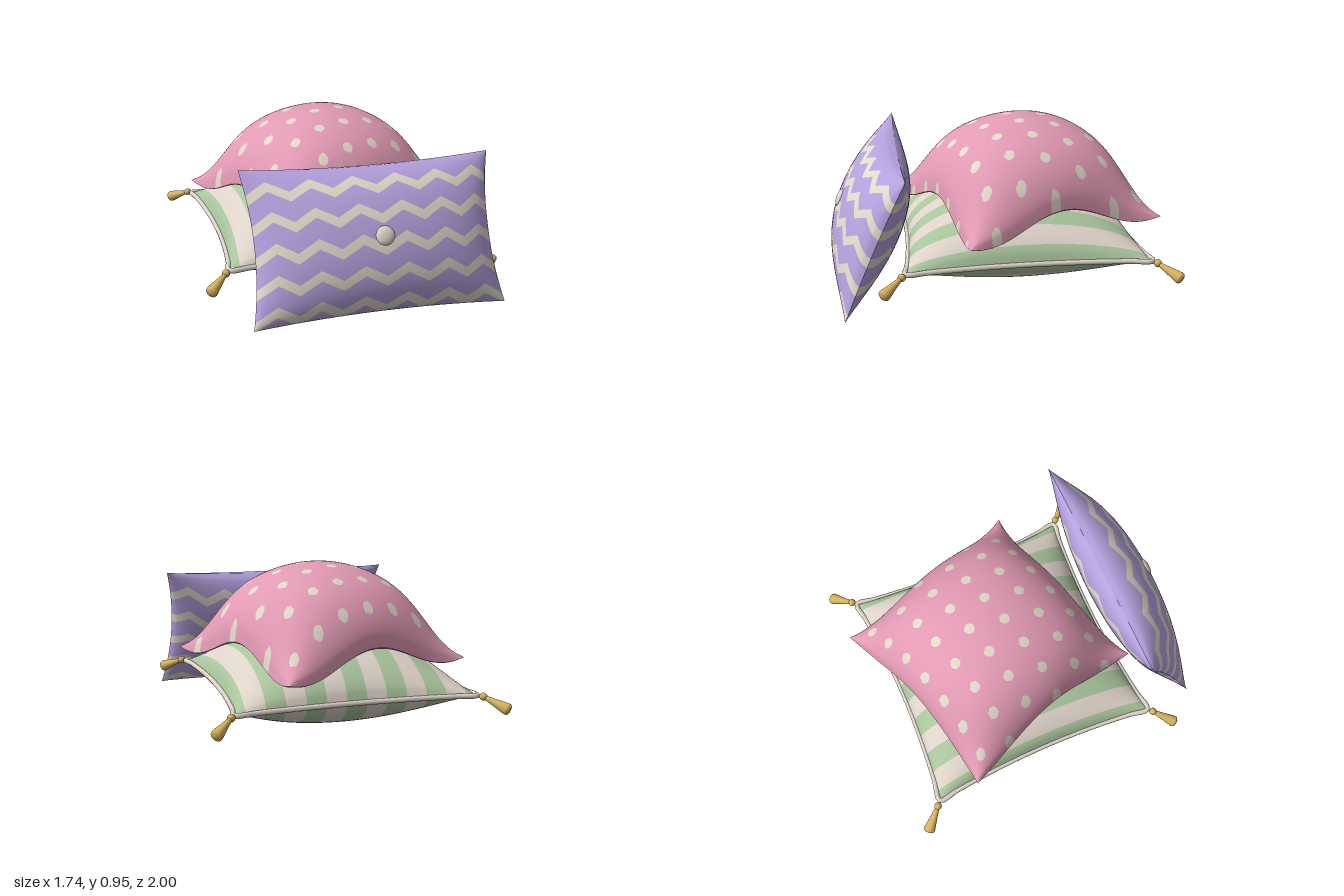
import * as THREE from 'three';

const mat = (name, color) => {
  const m = new THREE.MeshStandardMaterial({ color });
  m.name = name;
  return m;
};

const steps = (n, from = -1, to = 1) => Array.from({ length: n + 1 }, (_, i) => from + (to - from) * i / n);
const clamp1 = (v) => Math.max(-1, Math.min(1, v));

// Plan position of a cushion point: sides pinch inward between the corners
function plan(c, u, v) {
  const px = c.pinch * (1 - v * v) * u * u, pz = c.pinch * (1 - u * u) * v * v;
  return [c.halfX * u * (1 - px), c.halfZ * v * (1 - pz)];
}

// One face of a cushion: a (u, v) grid inflated upward or downward, split into two colours
function face(c, side) {
  const pos = [], uv = [], main = [], accent = [];
  for (const r of c.rows) {
    for (const q of c.cols) {
      const [u, v] = c.warp ? c.warp(q, r) : [q, r];
      const [x, z] = plan(c, u, v);
      const puff = Math.pow(Math.max(0, (1 - u * u) * (1 - v * v)), c.round);
      const y = (c.seam ? c.seam(u, v) : 0) + (side > 0 ? c.top : -c.bottom) * puff;
      pos.push(x, y, z);
      uv.push([u, v]);
    }
  }
  const n = c.cols.length;
  const tri = (i, j, k) => {
    const [a, b, d] = [uv[i], uv[j], uv[k]];
    const area = (b[0] - a[0]) * (d[1] - a[1]) - (b[1] - a[1]) * (d[0] - a[0]);
    if (Math.abs(area) < 1e-9) return;
    const list = c.pattern((a[0] + b[0] + d[0]) / 3, (a[1] + b[1] + d[1]) / 3) ? accent : main;
    if (side > 0) list.push(i, j, k);
    else list.push(i, k, j);
  };
  for (let r = 0; r < c.rows.length - 1; r++) {
    for (let q = 0; q < n - 1; q++) {
      const i = r * n + q;
      tri(i, i + n, i + 1);
      tri(i + 1, i + n, i + n + 1);
    }
  }
  const g = new THREE.BufferGeometry();
  g.setAttribute('position', new THREE.Float32BufferAttribute(pos, 3));
  g.setIndex([...main, ...accent]);
  g.addGroup(0, main.length, 0);
  g.addGroup(main.length, accent.length, 1);
  g.computeVertexNormals();
  return g;
}

function cushion(name, c, materials) {
  const group = new THREE.Group();
  group.name = name;
  for (const side of [1, -1]) {
    const mesh = new THREE.Mesh(face(c, side), materials);
    mesh.name = name + (side > 0 ? 'Top' : 'Bottom');
    group.add(mesh);
  }
  return group;
}

export function createModel() {
  const green = mat('sage green fabric', 0xa8c49c);
  const pink = mat('rose pink fabric', 0xe29ab4);
  const purple = mat('lavender fabric', 0xb3a0dc);
  const cream = mat('cream fabric', 0xe0d8c9);
  const ivory = mat('ivory fabric', 0xddd2c8);
  const gold = mat('gold thread', 0xd6b35e);
  const model = new THREE.Group();
  model.name = 'cushionPile';

  // Floor cushion with stripes running front to back
  const floor = {
    halfX: 0.712, halfZ: 0.714, pinch: 0.07, top: 0.31, bottom: 0.228, round: 0.6,
    cols: steps(72), rows: steps(72),
    pattern: (u) => Math.cos(6 * Math.PI * u) < 0,
  };
  const floorCushion = cushion('floorCushion', floor, [green, ivory]);
  floorCushion.position.set(0, 0.228, -0.13);
  model.add(floorCushion);

  // Piping along the seam
  const edge = [];
  const sides = [(t) => [t, -1], (t) => [1, t], (t) => [-t, 1], (t) => [-1, -t]];
  for (const s of sides) {
    for (const t of steps(12).slice(0, -1)) {
      const [x, z] = plan(floor, ...s(t));
      edge.push(new THREE.Vector3(x, 0, z));
    }
  }
  const pipe = new THREE.CatmullRomCurve3(edge, true);
  const piping = new THREE.Mesh(new THREE.TubeGeometry(pipe, 240, 0.016, 10, true), ivory);
  piping.name = 'piping';
  floorCushion.add(piping);

  // Corner tassels: knob and flared skirt
  const skirt = new THREE.LatheGeometry([
    [0, 0], [0.013, 0.01], [0.016, 0.035], [0.022, 0.075], [0.03, 0.12], [0.035, 0.15], [0.033, 0.162], [0.022, 0.17], [0, 0.173],
  ].map(([x, y]) => new THREE.Vector2(x, y)), 20);
  const knob = new THREE.SphereGeometry(0.023, 18, 12);
  for (const sx of [-1, 1]) {
    for (const sz of [-1, 1]) {
      const tassel = new THREE.Group();
      tassel.name = 'tassel';
      const parts = [new THREE.Mesh(knob, gold), new THREE.Mesh(skirt, gold)];
      parts[0].name = 'tasselKnob';
      parts[1].name = 'tasselSkirt';
      tassel.add(...parts);
      tassel.position.set(sx * 0.738, -0.003, sz * 0.738);
      const out = new THREE.Vector3(sx * 0.108, -0.06, sz * 0.112).normalize();
      tassel.quaternion.setFromUnitVectors(new THREE.Vector3(0, 1, 0), out);
      floorCushion.add(tassel);
    }
  }

  // Dotted cushion draped over the floor cushion, only its corners drooping and curling up
  const dotR = 0.05, stepU = 0.283, stepV = 0.31, firstV = -0.83;
  const nearestDot = (u, v) => {
    const row = Math.round((v - firstV) / stepV);
    const shift = row % 2 ? 0.5 : 0;
    return [(Math.round(u / stepU - shift) + shift) * stepU, firstV + row * stepV];
  };
  const droop = (t) => (1 - Math.cos(Math.PI * t / 0.8)) / 2;
  const dotted = {
    halfX: 0.623, halfZ: 0.625, pinch: 0.09, top: 0.35, bottom: 0.06, round: 0.5,
    cols: steps(120), rows: steps(120),
    seam: (u, v) => {
      const rim = u * u + v * v - u * u * v * v;
      return 0.6 - 0.08 * rim - 0.165 * rim ** 3 * droop(u) * droop(v);
    },
    // Pull nearby grid points onto the dot outlines
    warp: (u, v) => {
      const [cu, cv] = nearestDot(u, v);
      const d = Math.hypot(u - cu, v - cv);
      if (Math.abs(d - dotR) > 0.0084 || Math.max(Math.abs(u), Math.abs(v)) > 0.99) return [u, v];
      return [clamp1(cu + (u - cu) * dotR / d), clamp1(cv + (v - cv) * dotR / d)];
    },
    pattern: (u, v) => {
      const [cu, cv] = nearestDot(u, v);
      return Math.hypot(u - cu, v - cv) < dotR;
    },
  };
  const dottedCushion = cushion('dottedCushion', dotted, [pink, cream]);
  dottedCushion.position.set(0.035, 0, -0.185);
  dottedCushion.rotation.y = 0.3015;
  model.add(dottedCushion);

  // Zigzag cushion leaning at the front; its grid rows follow the zigzags
  const zig = (u) => {
    const t = Math.abs(u * 3) % 1;
    return 0.077 * (1 - 4 * Math.min(t, 1 - t));
  };
  const gap = 0.393, half = 0.065, firstBand = -0.685;
  const fade = 1 + firstBand - half;
  const rows = steps(10, -1, firstBand - half).slice(0, -1);
  for (let k = 0; k <= 4; k++) {
    const c = firstBand + k * gap;
    rows.push(...steps(4, c - half, c + half).slice(0, -1), ...steps(8, c + half, c + gap - half).slice(0, -1));
  }
  const zigzag = {
    halfX: 0.737, halfZ: 0.44, pinch: 0.065, top: 0.2, bottom: 0.192, round: 0.58,
    cols: steps(96), rows,
    // Zigzags flatten out toward the upper seam and run off the lower one
    warp: (u, v) => [u, clamp1(v + zig(u) * Math.min(1, (1 + v) / fade))],
    pattern: (u, v) => {
      const k = (v - zig(u) - firstBand) / gap;
      const row = Math.round(k);
      return row >= 0 && row <= 4 && Math.abs(k - row) * gap < half;
    },
  };
  const zigzagCushion = cushion('zigzagCushion', zigzag, [purple, cream]);
  zigzagCushion.position.set(0.087, 0.41, 0.755);
  zigzagCushion.rotation.x = 1.156;
  model.add(zigzagCushion);

  // Button in the middle of the front
  const button = new THREE.Mesh(new THREE.SphereGeometry(0.054, 28, 16), cream);
  button.name = 'button';
  button.scale.y = 0.4;
  button.position.y = 0.197;
  zigzagCushion.add(button);

  return model;
}
